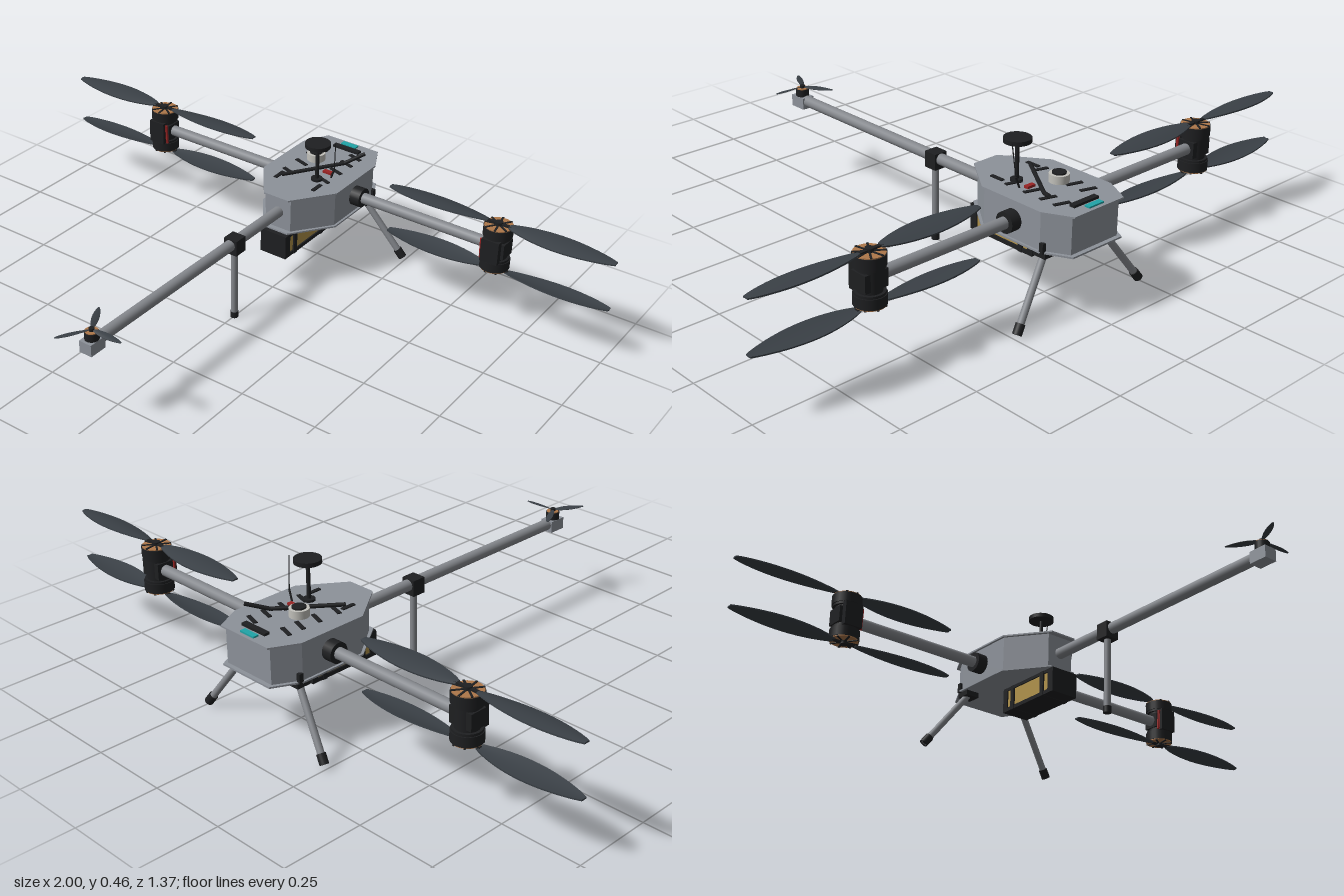
import * as THREE from 'three';

export function createModel() {
  const root = new THREE.Group();
  const mat = (name, color, side = THREE.FrontSide) => {
    const m = new THREE.MeshStandardMaterial({ color, side });
    m.name = name;
    return m;
  };
  const shell = mat('shell grey', 0x8d929a), tube = mat('tube grey', 0x85888d);
  const black = mat('black', 0x1e1f21), bladeMat = mat('blade slate', 0x3a4046, THREE.DoubleSide);
  const copper = mat('copper', 0xad774a), gold = mat('battery gold', 0xb0924a);
  const teal = mat('teal', 0x20a5a8), red = mat('red', 0x9a2424), pale = mat('pale grey', 0xc2c1bb);

  const add = (name, geo, m, parent = root, x = 0, y = 0, z = 0) => {
    const mesh = new THREE.Mesh(geo, m);
    mesh.name = name;
    mesh.position.set(x, y, z);
    parent.add(mesh);
    return mesh;
  };
  const box = (name, w, h, d, m, x, y, z, parent = root) =>
    add(name, new THREE.BoxGeometry(w, h, d), m, parent, x, y, z);
  const cyl = (name, r, h, m, x, y, z, parent = root, r2 = r) =>
    add(name, new THREE.CylinderGeometry(r, r2, h, 24), m, parent, x, y, z);
  const group = (name, x = 0, y = 0, z = 0, parent = root) => {
    const g = new THREE.Group();
    g.name = name;
    g.position.set(x, y, z);
    parent.add(g);
    return g;
  };
  // Round bar between two points
  const rod = (name, a, b, r, m, parent = root) => {
    const p = new THREE.Vector3(...a), q = new THREE.Vector3(...b), d = q.clone().sub(p);
    const mesh = cyl(name, r, d.length(), m, 0, 0, 0, parent);
    mesh.position.copy(p).add(q).multiplyScalar(0.5);
    mesh.quaternion.setFromUnitVectors(new THREE.Vector3(0, 1, 0), d.normalize());
    return mesh;
  };

  // Eight-sided hull with cover plates
  const slab = (name, side, y, h, m) => {
    const pts = [...side, ...side.map(([x, z]) => [-x, z]).reverse()];
    const shape = new THREE.Shape(pts.map(([x, z]) => new THREE.Vector2(x, -z)));
    const geo = new THREE.ExtrudeGeometry(shape, { depth: h, bevelEnabled: false });
    geo.rotateX(-Math.PI / 2);
    return add(name, geo, m, root, 0, y, 0);
  };
  const plate = [[0.045, -0.257], [0.138, -0.385], [0.138, -0.605], [0.095, -0.688]];
  slab('hull', [[0.045, -0.273], [0.131, -0.388], [0.131, -0.6], [0.09, -0.675]], 0.212, 0.112, shell);
  slab('topPlate', plate, 0.323, 0.005, shell);
  slab('bottomPlate', plate, 0.207, 0.005, shell);

  // Dark slots, label and status light on the top plate
  for (const s of [-1, 1]) {
    [-0.6, -0.55, -0.49, -0.42].forEach((z, i) => {
      const slot = box('slot', 0.05, 0.004, 0.012, black, s * 0.06, 0.329, z - s * 0.008);
      slot.rotation.y = -0.3;
      if (i === 3) box('slotEnd', 0.012, 0.005, 0.045, black, s * 0.07, 0.329, z + 0.045);
    });
  }
  box('switchBar', 0.095, 0.009, 0.018, black, 0.008, 0.331, -0.64);
  box('statusLight', 0.055, 0.006, 0.018, teal, 0, 0.33, -0.668);

  // Mast, receiver puck and antennas
  cyl('mastBase', 0.018, 0.008, black, 0.04, 0.331, -0.42);
  cyl('mast', 0.006, 0.12, black, 0.04, 0.388, -0.42);
  cyl('mastDisc', 0.04, 0.013, black, 0.04, 0.45, -0.42);
  cyl('puck', 0.029, 0.024, pale, -0.027, 0.35, -0.515);
  cyl('puckCap', 0.02, 0.006, black, -0.027, 0.364, -0.515);
  rod('barAntenna', [-0.06, 0.333, -0.375], [0.06, 0.338, -0.543], 0.006, black);
  rod('barAntennaTip', [0.06, 0.338, -0.543], [0.1, 0.36, -0.6], 0.006, black);
  rod('whipAntenna', [0.068, 0.328, -0.458], [0.08, 0.36, -0.456], 0.003, black);
  rod('whipAntennaTip', [0.08, 0.36, -0.456], [0.087, 0.458, -0.446], 0.0015, black);
  box('antennaSocket', 0.03, 0.008, 0.015, red, 0.045, 0.331, -0.475);

  // Battery slung below the hull
  const battery = group('battery', 0, 0, -0.37);
  box('cells', 0.086, 0.06, 0.21, gold, 0, 0.167, 0, battery);
  box('tray', 0.094, 0.012, 0.245, black, 0, 0.13, 0, battery);
  box('lid', 0.094, 0.01, 0.245, black, 0, 0.198, 0, battery);
  box('frontCap', 0.094, 0.074, 0.025, black, 0, 0.163, 0.11, battery);
  box('rearCap', 0.094, 0.074, 0.02, black, 0, 0.163, -0.113, battery);
  for (const z of [0.069, -0.077]) box('strap', 0.097, 0.08, 0.016, black, 0, 0.163, z, battery);

  // Tapered, twisted propeller blade running along +x
  const bladeGeo = (r0, r1, width, twist) => {
    const geo = new THREE.BoxGeometry(1, 1, 1, 20, 1, 4), p = geo.attributes.position;
    for (let i = 0; i < p.count; i++) {
      const t = p.getX(i) + 0.5, c = p.getZ(i) * 2;
      const w = width * (0.14 + 0.86 * Math.pow(Math.sin(Math.PI * Math.min(1, t * 0.97 + 0.015)), 0.75));
      const a = twist * (1 - 0.8 * t), z = c * w / 2;
      const y = p.getY(i) * width * 0.055 + 0.06 * w * (1 - c * c);
      p.setXYZ(i, r0 + (r1 - r0) * t, y * Math.cos(a) - z * Math.sin(a), y * Math.sin(a) + z * Math.cos(a));
    }
    geo.computeVertexNormals();
    return geo;
  };

  // One motor with its propeller, pointing up from the arm centre
  const motor = (parent, spin) => {
    const g = group('motor', 0, 0, 0, parent);
    cyl('motorCan', 0.045, 0.03, black, 0, 0.055, 0, g);
    cyl('windings', 0.043, 0.004, copper, 0, 0.071, 0, g);
    for (let i = 0; i < 4; i++) {
      box('spoke', 0.088, 0.003, 0.006, black, 0, 0.0735, 0, g).rotation.y = i * Math.PI / 4 + 0.2;
    }
    cyl('hub', 0.012, 0.012, black, 0, 0.077, 0, g);
    box('bladeClamp', 0.09, 0.005, 0.011, black, 0, 0.077, 0, g);
    for (const a of [0, Math.PI]) {
      add('blade', bladeGeo(0.035, 0.37, 0.077, spin * 0.18), bladeMat, g, 0, 0.077, 0).rotation.y = a;
    }
    return g;
  };

  // Side arms, each with a stacked motor pair
  for (const s of [-1, 1]) {
    const side = s > 0 ? 'left' : 'right';
    rod(side + 'Arm', [s * 0.12, 0.268, -0.5], [s * 0.62, 0.268, -0.5], 0.0175, tube);
    rod(side + 'ArmCollar', [s * 0.125, 0.268, -0.5], [s * 0.165, 0.268, -0.5], 0.031, black);
    const pod = group(side + 'MotorPod', s * 0.63, 0.268, -0.5);
    cyl('podCore', 0.034, 0.09, black, 0, 0, 0, pod);
    box('armClamp', 0.075, 0.05, 0.055, black, 0, 0, 0, pod);
    box('controller', 0.058, 0.075, 0.018, black, 0, 0, 0.038, pod);
    for (const y of [-0.038, 0.038]) cyl('motorMount', 0.042, 0.01, black, 0, y, 0, pod);
    for (const x of [-0.034, -0.026]) {
      rod('wire', [s * x, -0.036, 0.032], [s * x, 0.03, 0.036], 0.004, red, pod);
    }
    motor(pod, s);
    motor(pod, -s).rotation.x = Math.PI;

    // Splayed rear leg
    const top = [s * 0.105, 0.205, -0.597], foot = [s * 0.243, 0.014, -0.634];
    const knee = top.map((v, i) => v + (foot[i] - v) * 0.87);
    const leg = group(side + 'RearLeg');
    rod('legTube', top, foot, 0.0105, tube, leg);
    rod('legFoot', knee, foot, 0.0135, black, leg);
    box('legBracket', 0.045, 0.018, 0.045, black, s * 0.108, 0.2, -0.597, leg);
    box('legLatch', 0.012, 0.03, 0.014, black, s * 0.131, 0.222, -0.61, leg);
  }

  // Long boom with its leg
  rod('boom', [0, 0.268, -0.3], [0, 0.268, 0.575], 0.0175, tube);
  box('boomClamp', 0.046, 0.05, 0.045, black, 0, 0.262, -0.048);
  cyl('boomLeg', 0.0105, 0.23, tube, 0, 0.125, -0.048);
  cyl('boomLegFoot', 0.0125, 0.02, black, 0, 0.012, -0.048);

  // Small three-bladed rotor at the boom end
  const tail = group('boomRotor', 0, 0, 0.59);
  box('rotorMount', 0.042, 0.037, 0.058, shell, 0, 0.263, 0, tail);
  cyl('rotorMotor', 0.021, 0.024, black, 0, 0.293, 0, tail);
  cyl('rotorWindings', 0.019, 0.003, copper, 0, 0.306, 0, tail);
  cyl('rotorHub', 0.008, 0.014, black, 0, 0.309, 0, tail);
  for (let i = 0; i < 3; i++) {
    add('rotorBlade', bladeGeo(0.004, 0.104, 0.021, 0.35), bladeMat, tail, 0, 0.311, 0)
      .rotation.y = i * Math.PI * 2 / 3;
  }
  return root;
}
